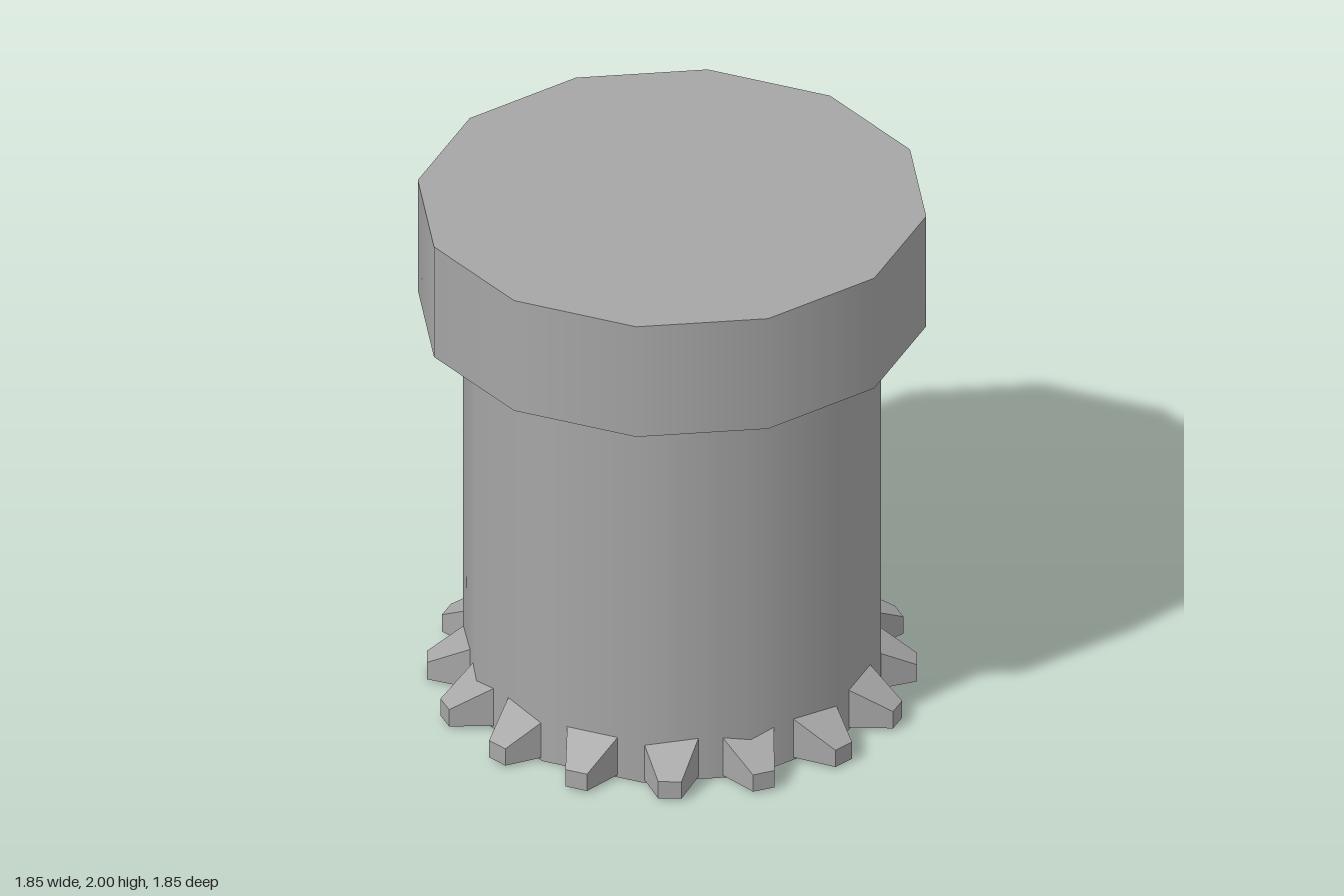
import * as THREE from 'three';

const SIDES = 12;
const TEETH = 16;

export function createModel() {
  const model = new THREE.Group();
  const grey = new THREE.MeshStandardMaterial({ color: 0xa6a6a6 });
  grey.name = 'grey';

  const add = (name, geometry, parent = model) => {
    const mesh = new THREE.Mesh(geometry, grey);
    mesh.name = name;
    parent.add(mesh);
    return mesh;
  };

  // Wide cap closing the top
  add('cap', new THREE.CylinderGeometry(0.925, 0.925, 0.46, SIDES)).position.y = 1.77;

  // Straight body, open at both ends
  add('body', new THREE.CylinderGeometry(0.76, 0.76, 1.54, SIDES, 1, true)).position.y = 0.77;

  // Flat rim around the hollow underside
  const ring = (points) => new THREE.LatheGeometry(
    points.map(([r, y]) => new THREE.Vector2(r, y)), SIDES);
  add('bottomRim', ring([[0.67, 0], [0.76, 0]]));

  // Smooth dished hollow, facing down
  add('bottomHollow', ring([[0, 0.22], [0.25, 0.2], [0.48, 0.13], [0.67, 0]]));

  // Tapered tooth: narrow and low outside, wide and tall where it meets the body
  let tooth = new THREE.BoxGeometry(1, 1, 1);
  const p = tooth.attributes.position;
  for (let i = 0; i < p.count; i++) {
    const outer = p.getZ(i) > 0;
    const top = p.getY(i) > 0;
    p.setXYZ(i,
      Math.sign(p.getX(i)) * (outer ? 0.042 : 0.108),
      top ? (outer ? 0.08 : 0.18) : 0.01,
      outer ? 0.883 : 0.71);
  }
  tooth = tooth.toNonIndexed();
  tooth.computeVertexNormals();

  // Ring of teeth around the foot
  const teeth = new THREE.Group();
  teeth.name = 'teeth';
  model.add(teeth);
  for (let i = 0; i < TEETH; i++) {
    add('tooth', tooth, teeth).rotation.y = (i / TEETH) * Math.PI * 2;
  }

  return model;
}
